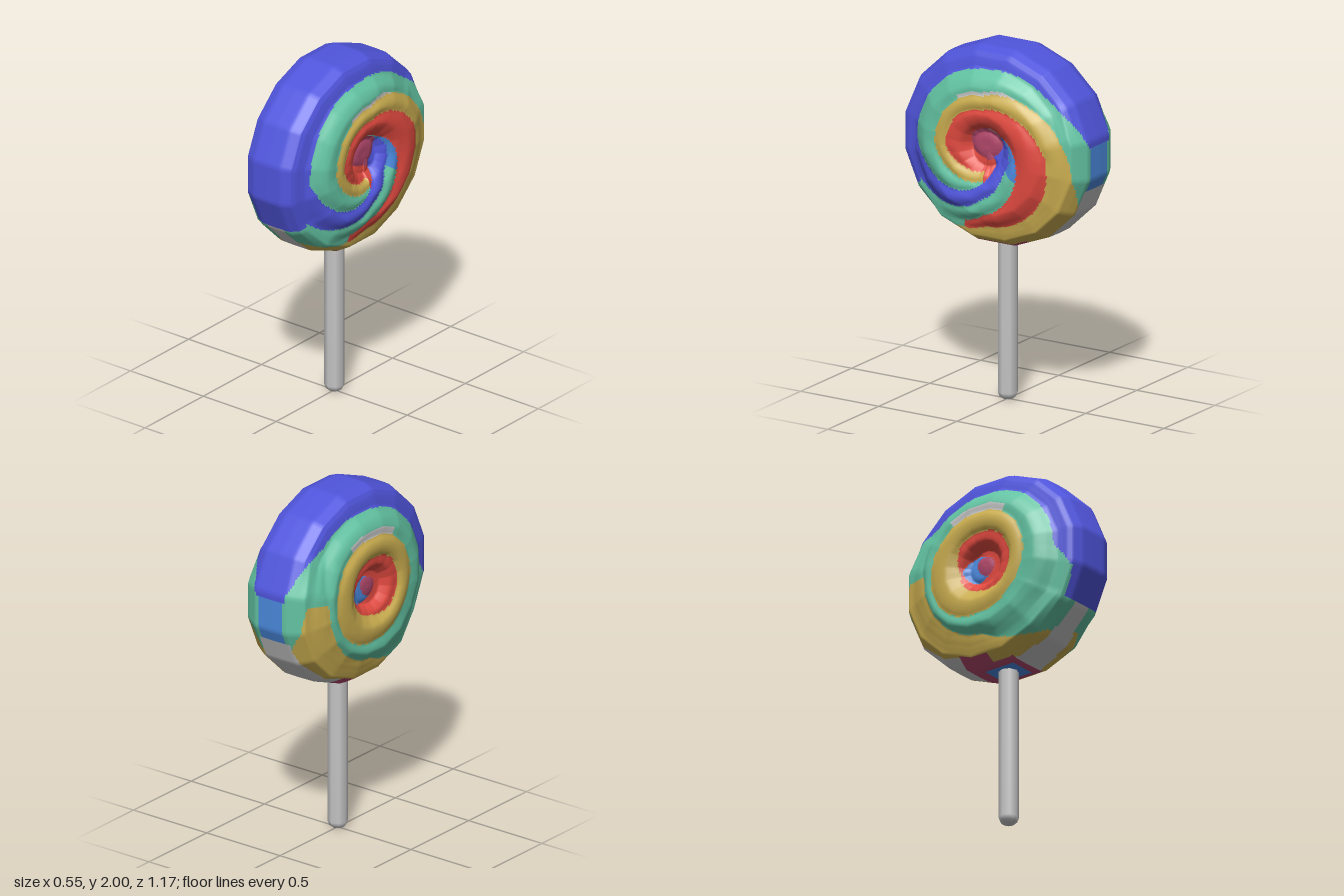
import * as THREE from 'three';

const material = (name, color) => {
  const m = new THREE.MeshStandardMaterial({ color });
  m.name = name;
  return m;
};
const PINK = 0, BLUE = 1, TEAL = 2, RED = 3, YELLOW = 4, SKY = 5, GREY = 6;

const CENTRE_Y = 1.45, SQUASH = 0.94;
const STEPS = 192, FACETS = 16, RINGS = 78;
const clamp01 = (v) => THREE.MathUtils.clamp(v, 0, 1);

// Half thickness from the hub to the rim: [radius, x at the top, x at the lower back]
const PROFILE = [
  [0, 0.205, 0.205], [0.06, 0.195, 0.195], [0.1, 0.185, 0.185], [0.15, 0.23, 0.23],
  [0.22, 0.255, 0.255], [0.3, 0.256, 0.258], [0.37, 0.238, 0.25], [0.43, 0.209, 0.222],
  [0.475, 0.176, 0.207], [0.53, 0.163, 0.195], [0.558, 0.148, 0.15], [0.583, 0.09, 0.105], [0.585, 0, 0],
];

// Outer radius of each spiral band, every 45 degrees from straight down
const LEFT = {
  colors: [PINK, BLUE, TEAL, RED, YELLOW, TEAL, BLUE, TEAL, RED, YELLOW, PINK],
  bounds: [
    [0.18, 0.27, 0.36, 0.43, 0.6],
    [0.05, 0.17, 0.27, 0.43, 0.61],
    [0.08, 0.16, 0.2, 0.4, 0.52, 0.62],
    [0.12, 0.12, 0.13, 0.3, 0.4, 0.49],
    [0.12, 0.12, 0.12, 0.23, 0.31, 0.44],
    [0.12, 0.12, 0.12, 0.235, 0.31, 0.45],
    [0.1, 0.1, 0.1, 0.23, 0.3, 0.455, 0.6],
    [0.06, 0.06, 0.06, 0.16, 0.23, 0.33, 0.46, 0.57, 0.57],
    [0.05, 0.05, 0.05, 0.12, 0.17, 0.18, 0.27, 0.36, 0.43, 0.6],
  ],
};
const RIGHT = {
  colors: [PINK, SKY, RED, YELLOW, TEAL, YELLOW, TEAL, BLUE],
  bounds: [
    [0.05, 0.06, 0.15, 0.29, 0.4, 0.6],
    [0.04, 0.11, 0.15, 0.32, 0.38, 0.62],
    [0.05, 0.14, 0.15, 0.33, 0.38, 0.53],
    [0.07, 0.1, 0.19, 0.33, 0.46, 0.46, 0.48],
    [0.06, 0.06, 0.19, 0.31, 0.44, 0.44, 0.44],
    [0.06, 0.06, 0.2, 0.31, 0.45, 0.45, 0.45],
    [0.06, 0.06, 0.2, 0.3, 0.46, 0.46, 0.46],
    [0.05, 0.05, 0.19, 0.29, 0.6, 0.6],
    [0.05, 0.06, 0.15, 0.29, 0.4, 0.6],
  ],
};

// Finds the spiral band at an angle (degrees, -90 to 270) and radius
function findBand(side, deg, r) {
  const t = (deg + 90) / 45;
  const k = Math.min(7, Math.floor(t)), f = t - k;
  let inner = 0;
  for (let i = 0; i < side.colors.length; i++) {
    const outer = (side.bounds[k][i] ?? 0.8) * (1 - f) + (side.bounds[k + 1][i] ?? 0.8) * f;
    if (r < outer) return { index: i, color: side.colors[i], inner, outer };
    inner = outer;
  }
  return { index: -1, color: side.colors.at(-1), inner, outer: 0.8 };
}

// Outer tread of the candy, or -1 where the spiral sides show
function rimColor(deg, x, z) {
  const w = Math.abs(x);
  if (deg > 8 && deg < 212) {
    const narrowing = x < 0 ? 0.04 * clamp01((deg - 165) / 40) : 0;
    return w < Math.min(0.168, 0.09 + (deg - 8) * 0.003) - narrowing ? BLUE : -1;
  }
  if (deg >= 212 && deg < 257) return w < 0.05 + (deg - 212) * 0.0012 ? GREY : -1;
  if (deg >= 257 || deg < -70) {
    if (w < 0.08 && Math.abs(z) < 0.09) return SKY;
    return x < 0.13 && x > (deg < 0 ? -0.19 : -0.13) ? PINK : -1;
  }
  if (deg < -18) return x < 0.09 && x > -0.1 + (deg + 18) * 0.0016 ? GREY : -1;
  return w < 0.08 ? SKY : -1;
}

function faceColor(deg, x, y, z) {
  const r = Math.hypot(y - CENTRE_Y, z);
  if (r > 0.44) {
    const rim = rimColor(deg, x, z);
    if (rim >= 0) return rim;
  }
  const { index, color, inner } = findBand(x > 0 ? LEFT : RIGHT, deg, r);
  if (x > 0) {
    if (index === 0 && deg < -45 && r > 0.06) return RED;
    if (index === 2 && deg > -35 && deg < 50) return SKY;
    if (index === 8 && deg < 254) return TEAL;
  } else if (index === 5 && deg > 6 && deg < 60) return TEAL;
  // Pale seam between the yellow and teal bands near the top
  const seam = x > 0 ? 0.022 : 0.04;
  if (color === TEAL && r < 0.37 && deg > 58 && deg < 118 && r - inner < seam) return GREY;
  return color;
}

function profileAt(t) {
  const u = t * (PROFILE.length - 1);
  const k = Math.min(PROFILE.length - 2, Math.floor(u)), f = u - k;
  return [0, 1, 2].map((c) => PROFILE[k][c] * (1 - f) + PROFILE[k + 1][c] * f);
}

// Candy: a swept thick disc, faceted round the rim, with raised spiral bands
function candyGeometry(materialCount) {
  const points = [];
  const per = STEPS / FACETS;
  for (let i = 0; i <= 2 * RINGS; i++) {
    const sign = i <= RINGS ? 1 : -1;
    const [r0, thin, thick] = profileAt(i <= RINGS ? i / RINGS : 2 - i / RINGS);
    for (let j = 0; j < STEPS; j++) {
      const deg = -90 + (j * 360) / STEPS, a = (deg * Math.PI) / 180;
      const fromLowerBack = Math.abs(deg > 125 ? deg - 305 : deg + 55);
      const h = THREE.MathUtils.lerp(thin, thick, clamp01((95 - fromLowerBack) / 25));
      const off = (((j + per / 2) % per) / per - 0.5) * ((2 * Math.PI) / FACETS);
      const r = r0 / Math.cos(off);
      const y = CENTRE_Y + r * Math.sin(a) * SQUASH, z = -r * Math.cos(a);
      const d = Math.hypot(y - CENTRE_Y, z);
      const b = findBand(sign > 0 ? LEFT : RIGHT, deg, d);
      const width = b.outer - b.inner;
      const bump = Math.min(0.016, width * 0.14) * Math.sin((Math.PI * (d - b.inner)) / width);
      const fade = clamp01((0.5 - d) / 0.1) * Math.min(1, d / 0.1);
      points.push(sign * (h + bump * fade), y, z);
    }
  }
  const faces = Array.from({ length: materialCount }, () => []);
  for (let i = 0; i < 2 * RINGS; i++) {
    for (let j = 0; j < STEPS; j++) {
      const n = (j + 1) % STEPS;
      const a = i * STEPS + j, b = a + STEPS, c = (i + 1) * STEPS + n, d = i * STEPS + n;
      const [x, y, z] = [0, 1, 2].map((k) => (points[a * 3 + k] + points[c * 3 + k]) / 2);
      faces[faceColor(-90 + ((j + 0.5) * 360) / STEPS, x, y, z)].push(a, b, c, a, c, d);
    }
  }
  const g = new THREE.BufferGeometry();
  g.setAttribute('position', new THREE.Float32BufferAttribute(points, 3));
  g.setIndex(faces.flat());
  let start = 0;
  faces.forEach((f, m) => {
    g.addGroup(start, f.length, m);
    start += f.length;
  });
  g.computeVertexNormals();
  return g;
}

export function createModel() {
  const materials = [
    material('berry pink', 0xb0476a),
    material('royal blue', 0x5055dc),
    material('mint teal', 0x62c2a2),
    material('candy red', 0xe24a40),
    material('honey yellow', 0xcbae50),
    material('sky blue', 0x4a88dc),
    material('pale grey', 0xc6c6c6),
  ];
  const model = new THREE.Group();
  model.name = 'lollipop';

  const candy = new THREE.Mesh(candyGeometry(materials.length), materials);
  candy.name = 'swirlCandy';
  model.add(candy);

  // Stick with a rounded foot
  const outline = [[0, 0], [0.028, 0.003], [0.046, 0.015], [0.055, 0.04], [0.055, 0.5], [0.055, 0.98]];
  const stick = new THREE.Mesh(
    new THREE.LatheGeometry(outline.map(([x, y]) => new THREE.Vector2(x, y)), 8),
    materials[GREY],
  );
  stick.name = 'stick';
  model.add(stick);
  return model;
}
